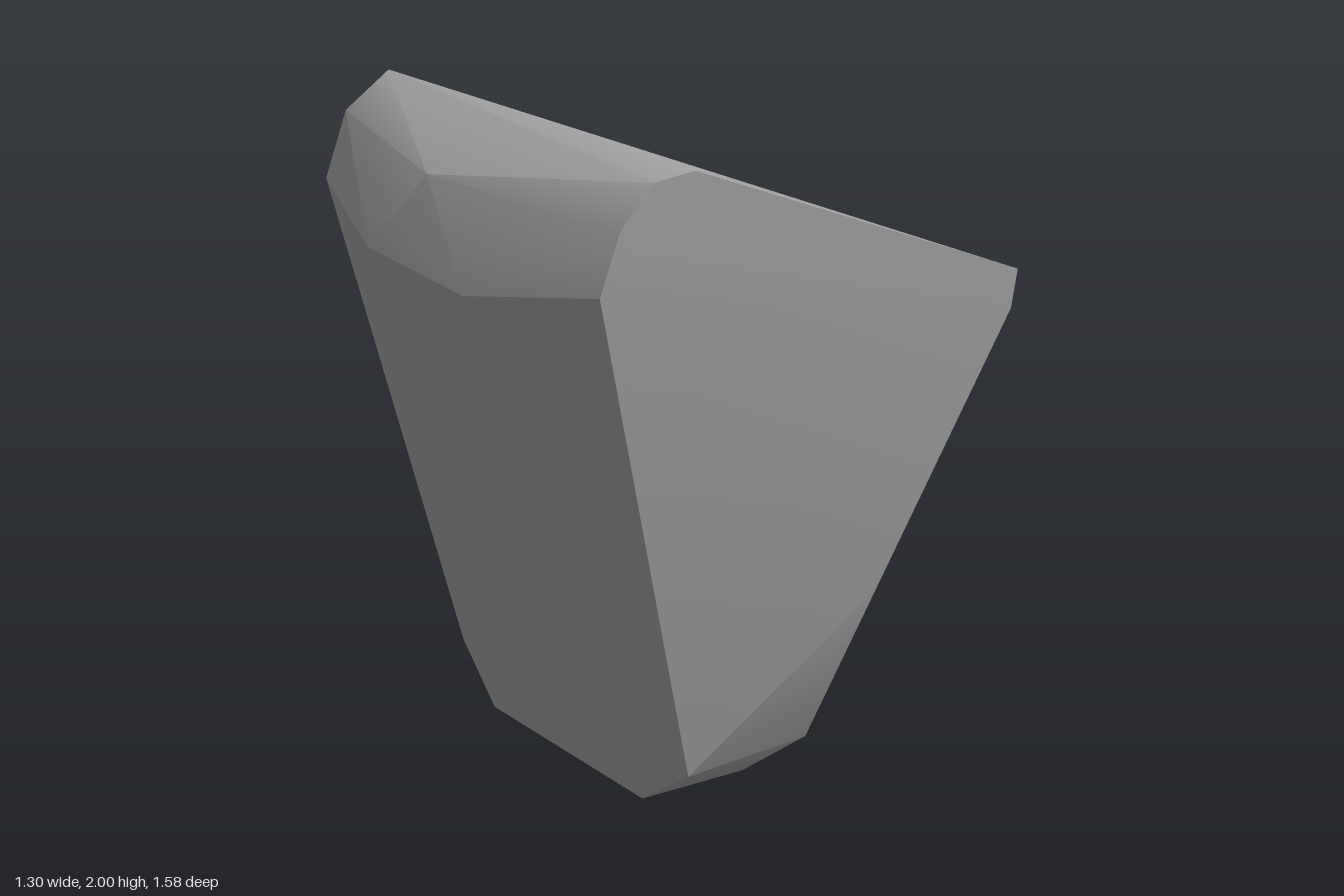
import * as THREE from 'three';
import { ConvexGeometry } from 'three/addons/geometries/ConvexGeometry.js';
import { toCreasedNormals } from 'three/addons/utils/BufferGeometryUtils.js';

export function createModel() {
  const stone = new THREE.MeshStandardMaterial({ color: 0xa0a0a0 });
  stone.name = 'stoneGrey';

  // Corners of the faceted boulder, grouped by region
  const corners = [
    // sloping top
    [-0.56, 2.0, 0.38], [0.49, 1.88, 0.45], [0.65, 1.43, -0.79], [-0.46, 1.49, -0.58],
    // rounded brow between top and front
    [-0.59, 1.91, 0.51], [-0.14, 1.83, 0.69], [0.47, 1.87, 0.58], [0.45, 1.77, 0.68],
    // upper edge of the front face
    [-0.61, 1.74, 0.57], [-0.32, 1.63, 0.72], [0.06, 1.58, 0.79], [0.43, 1.62, 0.73],
    // back and side edges
    [0.64, 1.32, -0.78], [0.5, 0.59, -0.36], [-0.54, 0.71, -0.53], [-0.59, 0.25, -0.43],
    // chamfers above the base
    [-0.655, 0.28, 0.05], [0.28, 0.17, 0.19], [0.34, 0.14, -0.27],
    // base
    [-0.52, 0.11, 0.07], [-0.46, 0.08, -0.32], [0.1, 0.04, 0.16], [0.16, 0, -0.22],
  ].map((p) => new THREE.Vector3(...p));

  // Soft shading across shallow bends, sharp at the main edges
  const hull = toCreasedNormals(new ConvexGeometry(corners), 0.6);
  const boulder = new THREE.Mesh(hull, stone);
  boulder.name = 'boulder';

  const group = new THREE.Group();
  group.name = 'rock';
  group.add(boulder);
  return group;
}
